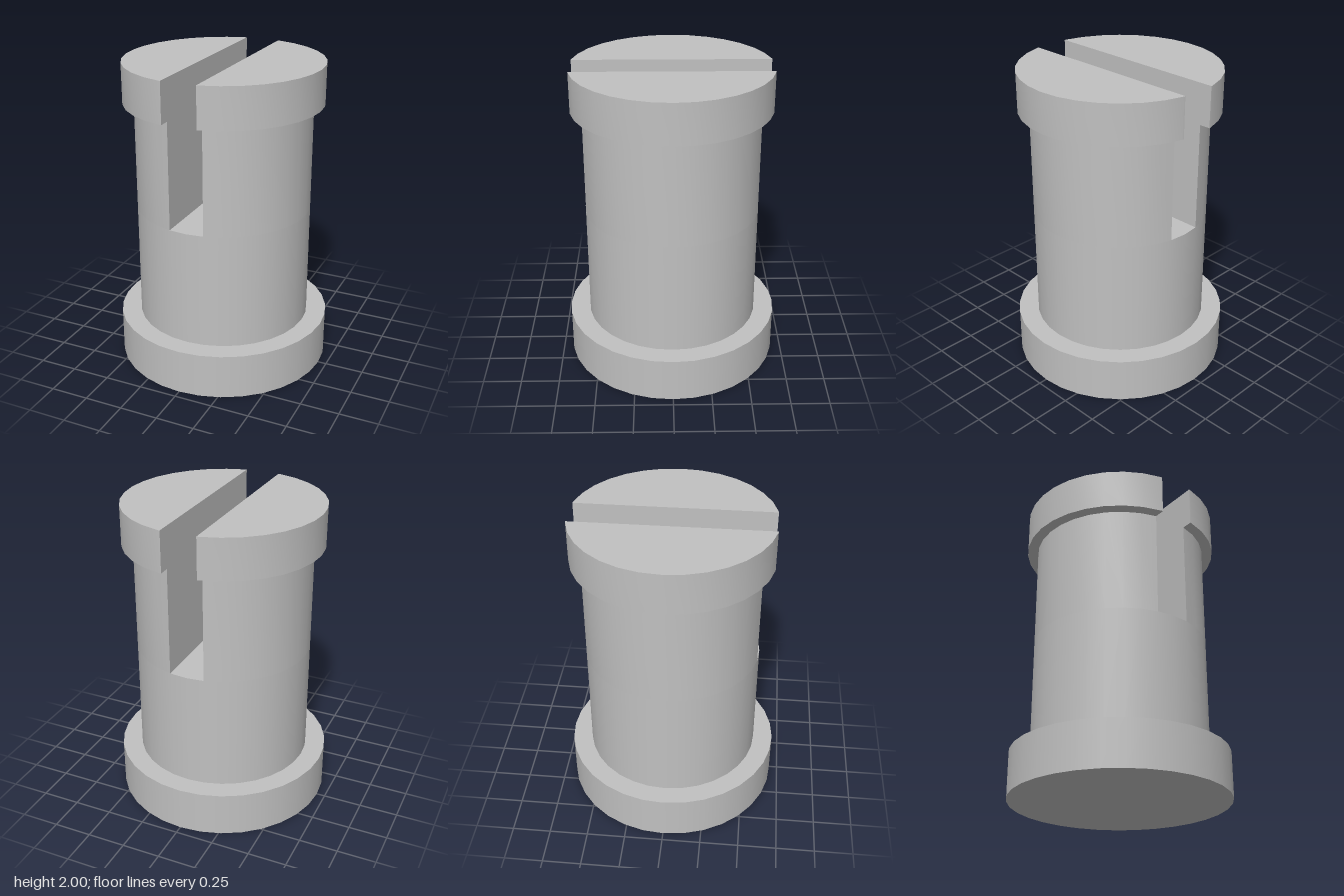
import * as THREE from 'three';
import { toCreasedNormals } from 'three/addons/utils/BufferGeometryUtils.js';

const SIDES = 32;
const SLOT = 0.113; // half width of the slot
const BASE = { r: 0.695, top: 0.295 };
const SHAFT = { r: 0.565, floor: 1.05, top: 1.74 };
const CAP = { r: 0.635, top: 2 };

// Half of a 32-sided disc, cut off flat at the slot wall
function halfDisc(r) {
  const points = [];
  for (let i = -SIDES / 4; i <= SIDES / 4; i++) {
    const a = (i / SIDES) * Math.PI * 2;
    const p = new THREE.Vector2(r * Math.cos(a), r * Math.sin(a));
    if (p.x > SLOT) points.push(p);
  }
  // End points where the slot wall crosses the polygon's edge
  const step = (Math.PI * 2) / SIDES;
  const last = points[points.length - 1];
  const a = Math.round(Math.atan2(last.y, last.x) / step + 1) * step;
  const next = new THREE.Vector2(r * Math.cos(a), r * Math.sin(a));
  const end = last.clone().lerp(next, (last.x - SLOT) / (last.x - next.x));
  points.push(end);
  points.unshift(new THREE.Vector2(end.x, -end.y));
  return new THREE.Shape(points);
}

function halfBlock(r, bottom, top) {
  const geometry = new THREE.ExtrudeGeometry(halfDisc(r), { depth: top - bottom, bevelEnabled: false });
  geometry.rotateX(-Math.PI / 2).translate(0, bottom, 0);
  return toCreasedNormals(geometry, Math.PI / 6);
}

function disc(r, bottom, top) {
  return new THREE.CylinderGeometry(r, r, top - bottom, SIDES).translate(0, (bottom + top) / 2, 0);
}

export function createModel() {
  const model = new THREE.Group();
  model.name = 'slottedPin';
  const grey = new THREE.MeshStandardMaterial({ name: 'grey', color: 0xc0c0c0 });

  const add = (name, geometry, turn = 0) => {
    const mesh = new THREE.Mesh(geometry, grey);
    mesh.name = name;
    mesh.rotation.y = turn;
    model.add(mesh);
  };

  // Solid lower parts; the shaft's top is the floor of the slot
  add('base', disc(BASE.r, 0, BASE.top));
  add('lowerShaft', disc(SHAFT.r, BASE.top, SHAFT.floor));

  // Two matching prongs, one on each side of the slot
  const prong = halfBlock(SHAFT.r, SHAFT.floor, SHAFT.top);
  const cap = halfBlock(CAP.r, SHAFT.top, CAP.top);
  for (const [side, turn] of [['left', 0], ['right', Math.PI]]) {
    add(side + 'Prong', prong, turn);
    add(side + 'Cap', cap, turn);
  }
  return model;
}
